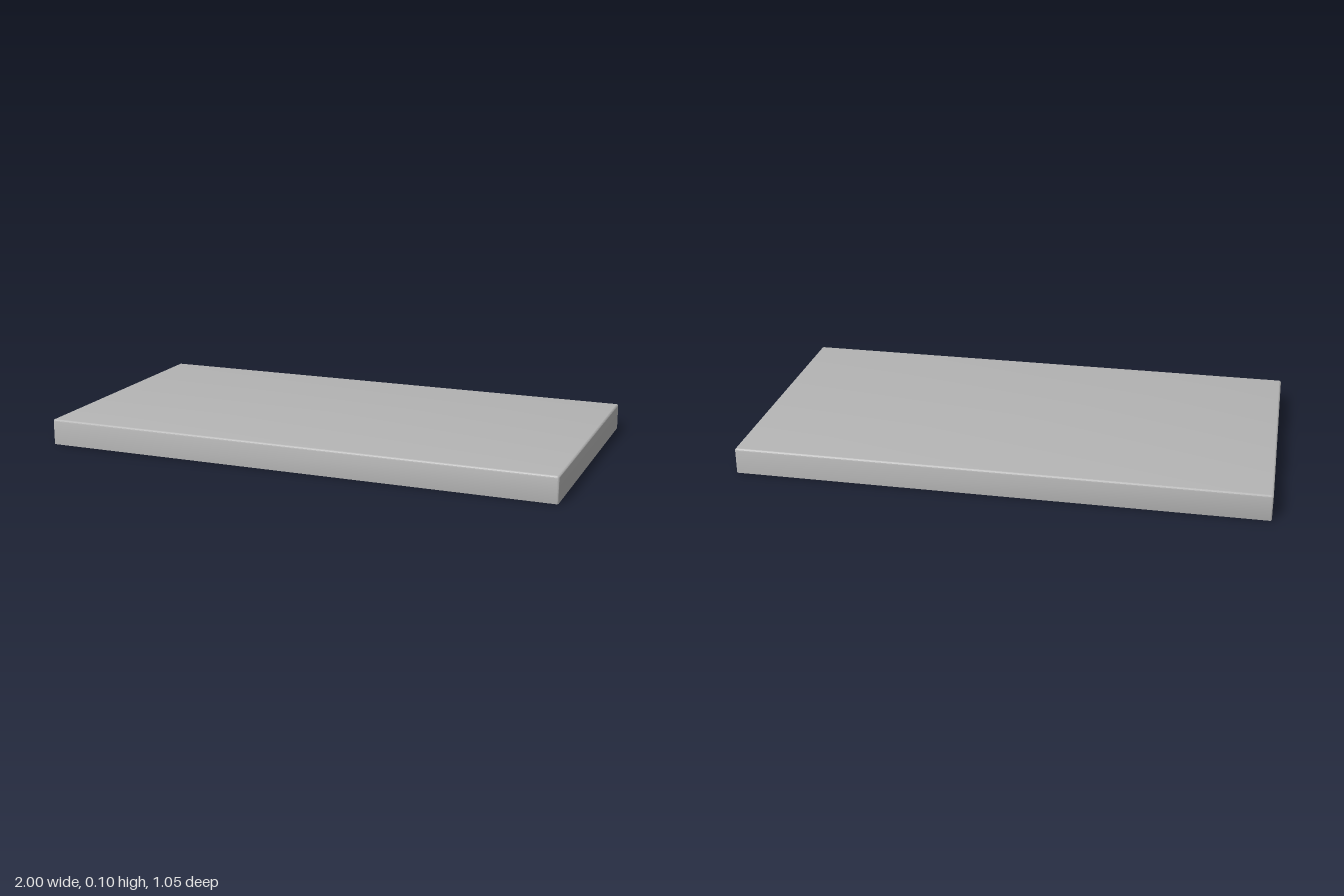
import * as THREE from 'three';
import { mergeGeometries, toCreasedNormals } from 'three/addons/utils/BufferGeometryUtils.js';

const HALF_X = 1, HALF_Z = 0.525, HEIGHT = 0.1;
const WALL = 0.02, FLOOR = 0.083, FILLET = 0.008;

// rounded rectangle at a given inset and height
function rectLoop(inset, y) {
  const r = Math.max(FILLET - inset, 0.001);
  const cx = HALF_X - inset - r, cz = HALF_Z - inset - r;
  const pts = [];
  [[1, 1], [-1, 1], [-1, -1], [1, -1]].forEach(([sx, sz], q) => {
    for (let i = 0; i <= 4; i++) {
      const a = (q + i / 4) * Math.PI / 2;
      pts.push(new THREE.Vector3(sx * cx + r * Math.cos(a), y, sz * cz + r * Math.sin(a)));
    }
  });
  return pts;
}

// hollow tray, swept from the top centre over the rim to the inner face
function shellGeometry() {
  const centre = (y) => rectLoop(0, y).map(() => new THREE.Vector3(0, y, 0));
  const loops = [centre(HEIGHT)];
  for (let i = 0; i <= 4; i++) {
    const a = i / 4 * Math.PI / 2;
    loops.push(rectLoop(FILLET * (1 - Math.sin(a)), HEIGHT - FILLET * (1 - Math.cos(a))));
  }
  loops.push(rectLoop(0, 0), rectLoop(WALL, 0), rectLoop(WALL, FLOOR), centre(FLOOR));

  const tris = [];
  for (let k = 0; k < loops.length - 1; k++) {
    const n = loops[k].length;
    for (let j = 0; j < n; j++) {
      const a = loops[k][j], b = loops[k][(j + 1) % n];
      const c = loops[k + 1][j], d = loops[k + 1][(j + 1) % n];
      if (k > 0) tris.push(a, b, d);
      if (k < loops.length - 2) tris.push(a, d, c);
    }
  }
  const geo = new THREE.BufferGeometry().setFromPoints(tris);
  return toCreasedNormals(geo, 0.6);
}

function hexPoints(radius) {
  return Array.from({ length: 6 }, (_, i) => {
    const a = Math.PI / 6 + i * Math.PI / 3;
    return new THREE.Vector2(radius * Math.cos(a), radius * Math.sin(a));
  });
}

// network of hexagonal ribs hanging under the top panel
function honeycombGeometry() {
  const pitch = 0.16, radius = pitch / Math.sqrt(3), cols = 11, rows = 6;
  const shape = new THREE.Shape(hexPoints(radius));
  shape.holes.push(new THREE.Path(hexPoints(radius - 0.012)));
  const cell = new THREE.ExtrudeGeometry(shape, { depth: 0.018, bevelEnabled: false });
  cell.rotateX(Math.PI / 2);
  const cells = [];
  for (let row = 0; row < rows; row++) {
    for (let col = 0; col < cols; col++) {
      const x = (col - (cols - 1) / 2 + (row % 2 ? 0.25 : -0.25)) * pitch;
      const z = (row - (rows - 1) / 2) * radius * 1.5;
      cells.push(cell.clone().translate(x, FLOOR + 0.001, z));
    }
  }
  return mergeGeometries(cells);
}

export function createModel() {
  const model = new THREE.Group();
  const grey = new THREE.MeshStandardMaterial({ color: 0xb4b4b4 });
  grey.name = 'grey';

  const add = (name, geometry) => {
    const mesh = new THREE.Mesh(geometry, grey);
    mesh.name = name;
    model.add(mesh);
    return mesh;
  };

  add('shell', shellGeometry());
  add('honeycombRibs', honeycombGeometry());

  // small round studs on the inside of the long walls
  const stud = new THREE.CylinderGeometry(0.012, 0.012, 0.008, 16).rotateX(Math.PI / 2);
  for (const side of [1, -1]) {
    for (let i = 0; i < 4; i++) {
      add('stud', stud).position.set(-0.8 + i * 1.6 / 3, 0.045, side * (HALF_Z - WALL - 0.002));
    }
  }
  return model;
}
